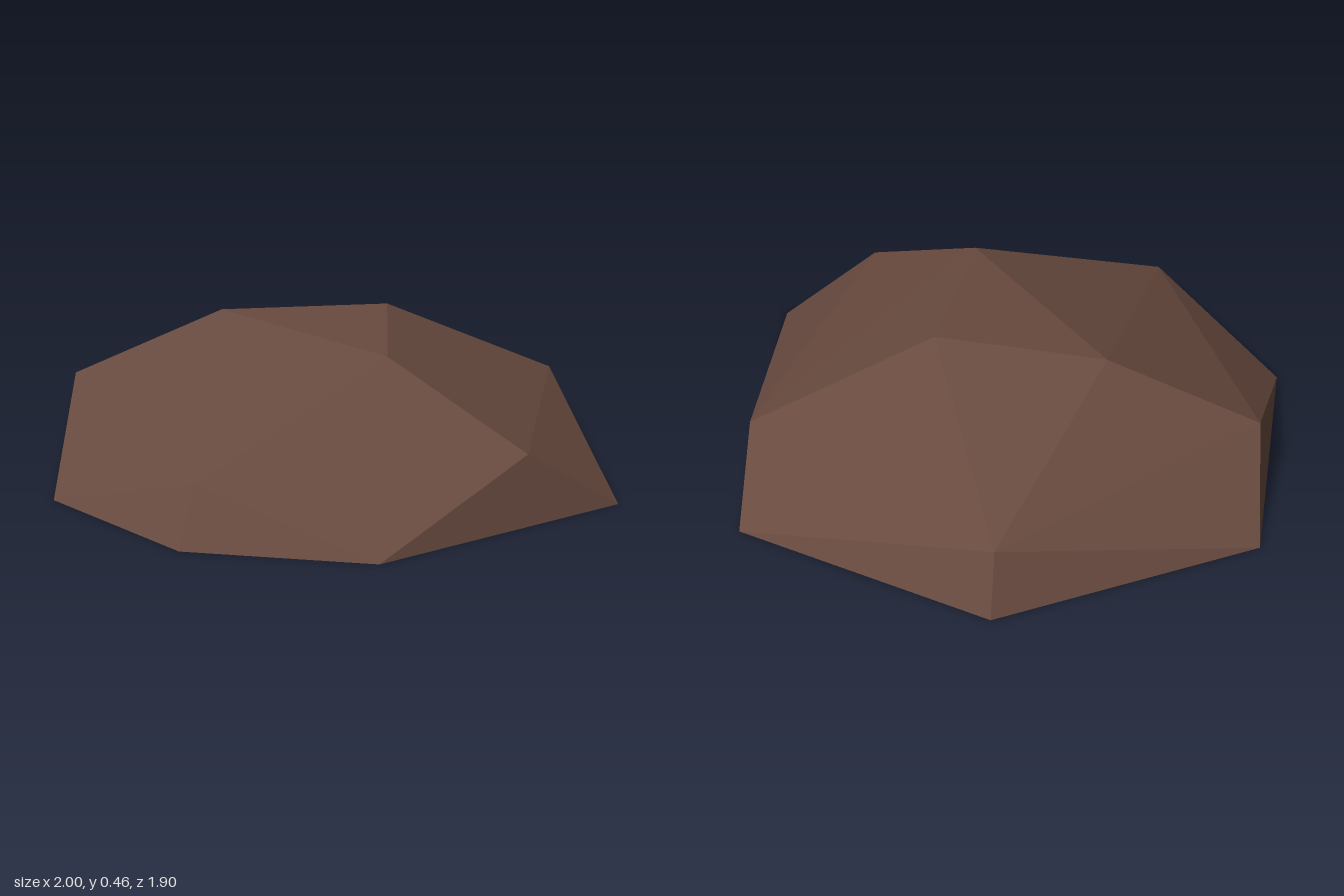
import * as THREE from 'three';

// Corner points of the faceted rock shell
const P = {
  // ground rim
  A: [-1, 0, 0], B: [-0.56, 0, 0.77], C: [0, 0, 0.95], D: [0.56, 0, 0.77],
  E: [1, 0, 0], F: [0.3, 0, -0.95], G: [-0.56, 0, -0.77],
  // shoulder
  H: [-0.81, 0.235, 0.26], I: [0, 0.175, 0.85], J: [0.8, 0.21, 0.255],
  K: [0.49, 0.18, -0.69], L: [-0.51, 0.185, -0.69],
  // crown
  M: [-0.4, 0.44, 0], N: [0.32, 0.44, 0.23], O: [0.08, 0.457, -0.26],
};

// Facets from the rim up to the crown, counter-clockwise from outside
const FACETS = 'ABH BIH BCI CDI DJI DEJ EKJ EFK FLK FGL GAL AHL ' +
  'HML HIM MIN IJN JKN NKO KLO LMO MNO';

export function createModel() {
  const group = new THREE.Group();
  group.name = 'rock';

  // The shell is open underneath, so both sides show
  const stone = new THREE.MeshStandardMaterial({
    color: 0x684a3f, flatShading: true, side: THREE.DoubleSide,
  });
  stone.name = 'brown stone';

  const corners = FACETS.split(' ').flatMap((f) => [...f].flatMap((k) => P[k]));
  const geometry = new THREE.BufferGeometry();
  geometry.setAttribute('position', new THREE.Float32BufferAttribute(corners, 3));
  geometry.computeVertexNormals();

  const shell = new THREE.Mesh(geometry, stone);
  shell.name = 'rockShell';
  group.add(shell);
  return group;
}
